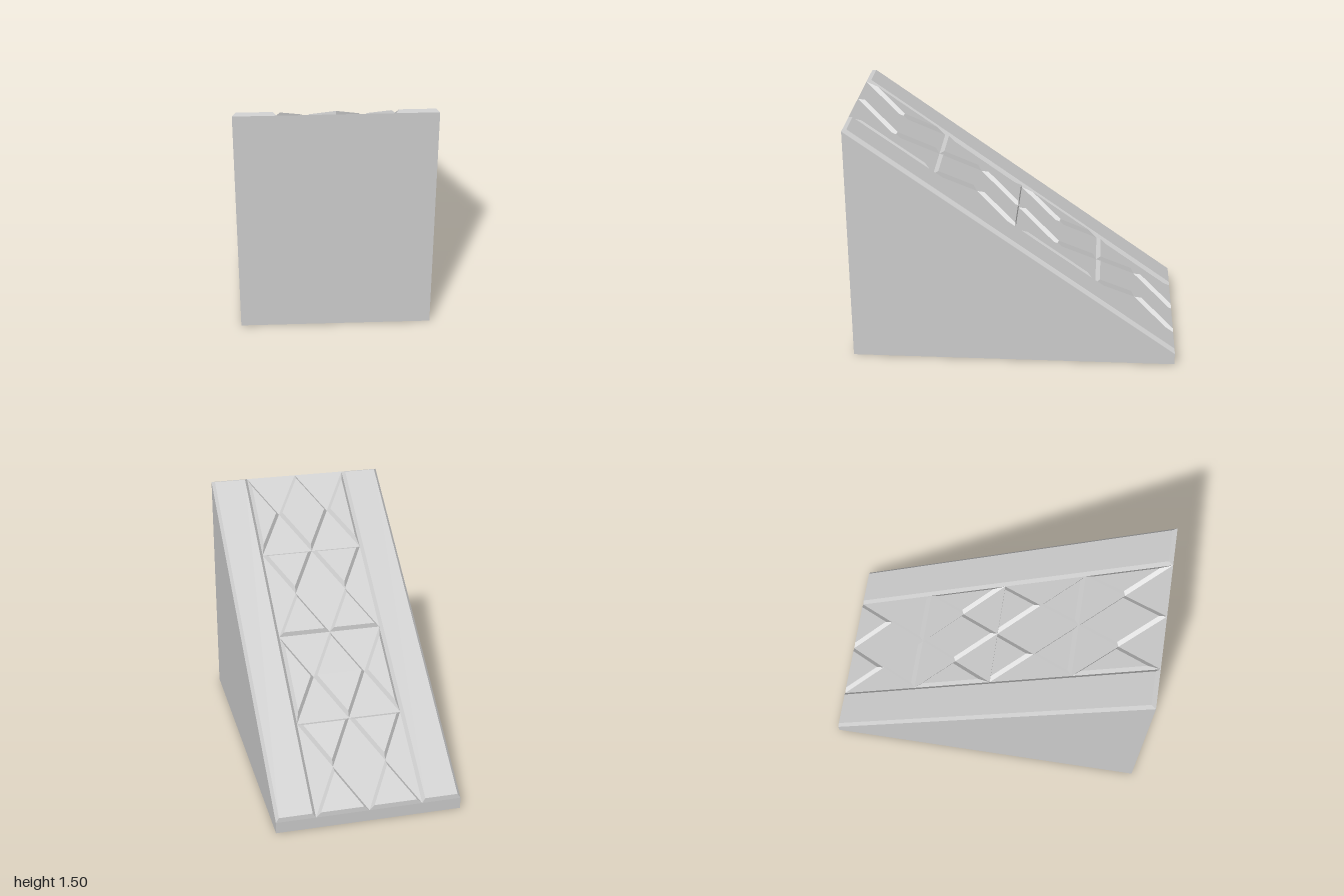
import * as THREE from 'three';

const HALF_W = 0.57, INNER = 0.328;      // ramp half width, half width of the patterned strip
const Y_HIGH = 1.492, Y_LOW = 0.072;     // slope heights at z = 1 and z = -1
const RAISE = 0.022, INSET = 0.019;      // raised plate thickness and bevel
const LEN = Math.hypot(2, Y_HIGH - Y_LOW);
const COS = 2 / LEN, SIN = (Y_HIGH - Y_LOW) / LEN;

const material = new THREE.MeshStandardMaterial({ color: 0xcccccc, flatShading: true });

// Point on the slope: u across, v down the slope, h along its normal
const onSlope = (u, v, h) => [
  u,
  (Y_HIGH + Y_LOW) / 2 - v * SIN + h * COS,
  -v * COS - h * SIN,
];

// Moves every edge of a convex counterclockwise polygon inward by d
function insetPolygon(points, d) {
  const n = points.length;
  const normals = points.map((p, i) => {
    const q = points[(i + 1) % n];
    return new THREE.Vector2(p.y - q.y, q.x - p.x).normalize();
  });
  return points.map((p, i) => {
    const a = normals[(i + n - 1) % n], b = normals[i];
    return p.clone().addScaledVector(a.clone().add(b), d / (1 + a.dot(b)));
  });
}

// Bevelled plate lying on the slope; corners are [x, z] pairs
function plate(name, corners) {
  const base = corners.map(([x, z]) => new THREE.Vector2(x, -z / COS));
  if (THREE.ShapeUtils.area(base) < 0) base.reverse();
  const lower = base.map((p) => onSlope(p.x, p.y, 0));
  const upper = insetPolygon(base, INSET).map((p) => onSlope(p.x, p.y, RAISE));
  const pos = [];
  const n = base.length;
  for (let i = 0; i < n; i++) {
    const j = (i + 1) % n;
    pos.push(...lower[i], ...lower[j], ...upper[j], ...lower[i], ...upper[j], ...upper[i]);
    if (i > 0 && i < n - 1) pos.push(...upper[0], ...upper[i], ...upper[j]);
  }
  const geometry = new THREE.BufferGeometry();
  geometry.setAttribute('position', new THREE.Float32BufferAttribute(pos, 3));
  geometry.computeVertexNormals();
  const mesh = new THREE.Mesh(geometry, material);
  mesh.name = name;
  return mesh;
}

export function createModel() {
  const model = new THREE.Group();
  model.name = 'ramp';

  // Solid wedge
  const profile = new THREE.Shape([
    new THREE.Vector2(-1, 0), new THREE.Vector2(1, 0),
    new THREE.Vector2(1, Y_HIGH), new THREE.Vector2(-1, Y_LOW),
  ]);
  const wedgeGeometry = new THREE.ExtrudeGeometry(profile, { depth: 2 * HALF_W, bevelEnabled: false });
  wedgeGeometry.rotateY(-Math.PI / 2).translate(HALF_W, 0, 0);
  const wedge = new THREE.Mesh(wedgeGeometry, material);
  wedge.name = 'wedge';
  model.add(wedge);

  // Raised side rails
  for (const [side, s] of [['left', 1], ['right', -1]]) {
    model.add(plate(side + 'Rail', [[s * INNER, -1], [s * HALF_W, -1], [s * HALF_W, 1], [s * INNER, 1]]));
  }

  // Tread pattern: crossed cells whose raised and flat tiles alternate
  const tread = new THREE.Group();
  tread.name = 'tread';
  const half = INNER / 2;
  for (let row = 0; row < 4; row++) {
    const z0 = -1 + row * 0.5, z1 = z0 + 0.5, zm = z0 + 0.25;
    if (row % 2 === 0) {
      // Triangles based on the cross lines
      for (const s of [-1, 1]) {
        for (const z of [z0, z1]) {
          tread.add(plate('crossTile', [[0, z], [s * INNER, z], [s * half, zm]]));
        }
      }
    } else {
      // Central diamond and triangles along the rails
      tread.add(plate('diamondTile', [[0, z0], [half, zm], [0, z1], [-half, zm]]));
      for (const s of [-1, 1]) {
        tread.add(plate('edgeTile', [[s * INNER, z0], [s * half, zm], [s * INNER, z1]]));
      }
    }
  }
  model.add(tread);
  return model;
}
